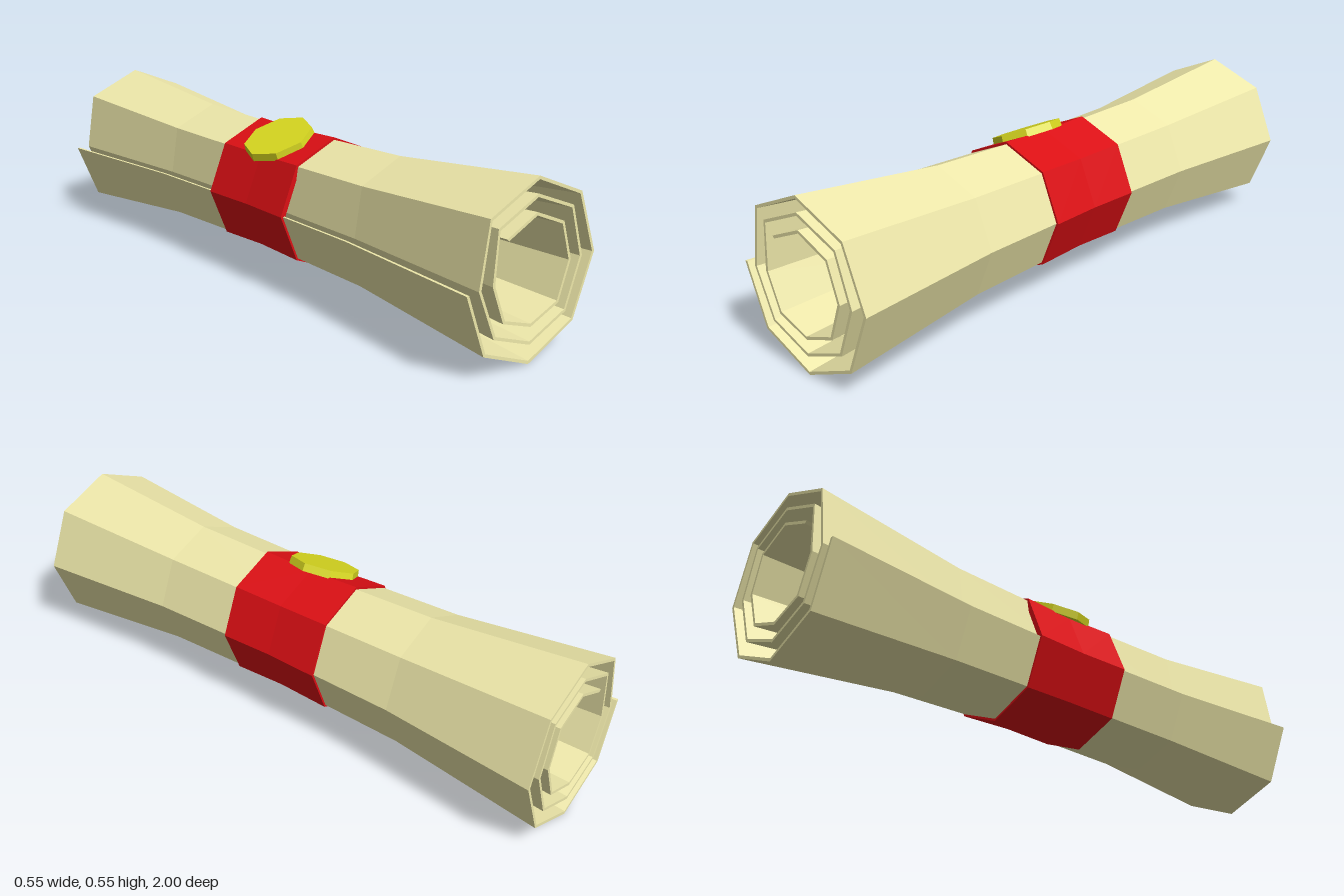
import * as THREE from 'three';

const CY = 0.275; // height of the roll's axis

const material = (color) => new THREE.MeshStandardMaterial({
  color, flatShading: true, side: THREE.DoubleSide,
});

function addMesh(group, name, geometry, color) {
  const mesh = new THREE.Mesh(geometry, material(color));
  mesh.name = name;
  group.add(mesh);
  return mesh;
}

// Rolled sheet: a stepped octagonal spiral with thickness, lofted along z
function paperGeometry() {
  // corner radii from the outer flap inward, eight per turn
  const radii = [
    0.275, 0.276, 0.275, 0.276, 0.275, 0.276, 0.275, 0.275,
    0.227, 0.221, 0.216, 0.222, 0.217, 0.228, 0.225, 0.226,
    0.172, 0.170, 0.162, 0.170, 0.165, 0.173, 0.173, 0.173,
  ];
  const wall = 0.01;
  const corner = (i, inset) => {
    const a = Math.PI + i * Math.PI / 4;
    const r = radii[i] - inset;
    return [r * Math.cos(a), r * Math.sin(a)];
  };
  const outer = radii.map((_, i) => corner(i, 0));
  const inner = radii.map((_, i) => corner(i, wall));
  const loop = [...outer, ...inner.slice().reverse()];
  // [z, scale]: flared ends, slim waist
  const stations = [[-1, 1], [-0.48, 0.81], [0, 0.77], [0.48, 0.81], [1, 1]];

  const positions = [];
  for (const [z, s] of stations) {
    for (const [x, y] of loop) positions.push(x * s, CY + y * s, z);
  }
  const n = loop.length;
  const index = [];
  const quad = (a, b, c, d) => index.push(a, b, c, a, c, d);
  for (let k = 0; k < stations.length - 1; k++) {
    for (let i = 0; i < n; i++) {
      const j = (i + 1) % n;
      quad(k * n + i, k * n + j, (k + 1) * n + j, (k + 1) * n + i);
    }
  }
  // end edges of the sheet
  const front = (stations.length - 1) * n;
  for (let i = 0; i < radii.length - 1; i++) {
    const o = i, p = i + 1, q = n - 2 - i, r = n - 1 - i;
    quad(front + o, front + p, front + q, front + r);
    quad(r, q, p, o);
  }
  const geometry = new THREE.BufferGeometry();
  geometry.setAttribute('position', new THREE.Float32BufferAttribute(positions, 3));
  geometry.setIndex(index);
  geometry.computeVertexNormals();
  return geometry;
}

export function createModel() {
  const group = new THREE.Group();
  group.name = 'scroll';

  addMesh(group, 'rolledPaper', paperGeometry(), 0xeee8aa);

  // Octagonal band around the waist
  const profile = [
    [0.205, -0.188], [0.224, -0.188], [0.218, 0], [0.224, 0.188], [0.205, 0.188],
  ].map(([r, y]) => new THREE.Vector2(r, y));
  const band = new THREE.LatheGeometry(profile, 8);
  band.rotateX(Math.PI / 2);
  const ribbon = addMesh(group, 'ribbon', band, 0xdc0f14);
  ribbon.position.set(0, CY, -0.005);

  // Seal lying on the upper right-hand facet of the band
  const tilt = Math.PI / 8;
  const seal = addMesh(group, 'seal', new THREE.CylinderGeometry(0.117, 0.12, 0.026, 8), 0xd8d820);
  seal.rotation.z = tilt;
  seal.position.set(-0.08, 0.472, 0);

  return group;
}
